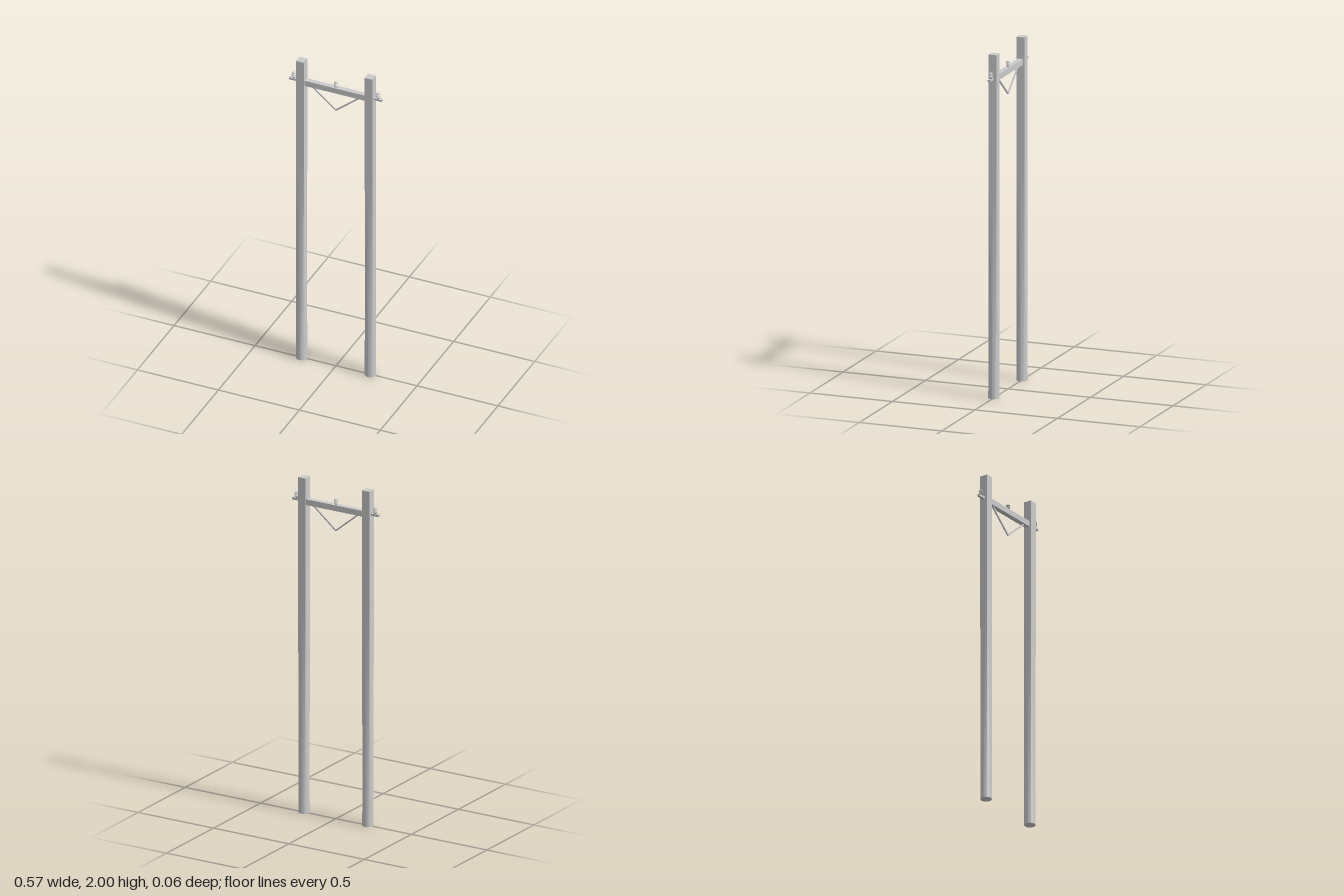
import * as THREE from 'three';

const material = new THREE.MeshStandardMaterial({ color: 0xcccccc, flatShading: true });
const smooth = new THREE.MeshStandardMaterial({ color: 0xcccccc });

function add(parent, name, geometry, x, y, z = 0, mat = material) {
  const mesh = new THREE.Mesh(geometry, mat);
  mesh.name = name;
  mesh.position.set(x, y, z);
  parent.add(mesh);
  return mesh;
}

// Pole: round at the foot, blending to a square post above
function poleGeometry() {
  const sides = 24, half = 0.0238, foot = 0.0325, blendTop = 1.3;
  const heights = [0, 0.15, 0.4, 0.7, 1, blendTop, 2];
  const positions = [], indices = [];
  for (const y of heights) {
    const t = Math.max(0, 1 - y / blendTop);
    for (let i = 0; i < sides; i++) {
      const a = (i / sides) * Math.PI * 2;
      const c = Math.cos(a), s = Math.sin(a);
      const square = half / Math.max(Math.abs(c), Math.abs(s));
      const r = square + (foot - square) * t;
      positions.push(c * r, y, s * r);
    }
  }
  for (let k = 0; k < heights.length - 1; k++) {
    for (let i = 0; i < sides; i++) {
      const a = k * sides + i, b = k * sides + (i + 1) % sides;
      indices.push(a, a + sides, b, b, a + sides, b + sides);
    }
  }
  // End caps
  const top = (heights.length - 1) * sides;
  for (let i = 1; i < sides - 1; i++) {
    indices.push(0, i, i + 1, top, top + i + 1, top + i);
  }
  const geometry = new THREE.BufferGeometry();
  geometry.setAttribute('position', new THREE.Float32BufferAttribute(positions, 3));
  geometry.setIndex(indices);
  geometry.computeVertexNormals();
  return geometry;
}

// Insulator: stacked skirts on a thin pin
function insulatorGeometry() {
  const profile = [
    [0, 0], [0.006, 0], [0.006, 0.008], [0.0125, 0.010], [0.0125, 0.014],
    [0.006, 0.016], [0.006, 0.019], [0.0125, 0.021], [0.0125, 0.025],
    [0.006, 0.027], [0.006, 0.029], [0.0105, 0.031], [0.0105, 0.035],
    [0.003, 0.037], [0.003, 0.039], [0, 0.039],
  ];
  return new THREE.LatheGeometry(profile.map(([r, y]) => new THREE.Vector2(r, y)), 20);
}

export function createModel() {
  const group = new THREE.Group();
  group.name = 'utilityPoleFrame';

  const pole = poleGeometry();
  const insulator = insulatorGeometry();

  // Crossarm between the poles and centre insulator
  add(group, 'crossarm', new THREE.BoxGeometry(0.42, 0.034, 0.031), 0, 1.857);
  add(group, 'centreInsulator', insulator, 0, 1.87, 0, smooth);

  for (const side of [1, -1]) {
    const label = side > 0 ? 'left' : 'right';
    add(group, label + 'Pole', pole, side * 0.212, 0);
    add(group, label + 'EndBracket', new THREE.BoxGeometry(0.086, 0.013, 0.016), side * 0.243, 1.86);
    add(group, label + 'Insulator', insulator, side * 0.26, 1.866, 0, smooth);

    // Diagonal brace from the crossarm down to the centre
    const start = new THREE.Vector2(0, 1.719), end = new THREE.Vector2(0.153, 1.845);
    const run = end.clone().sub(start);
    const brace = add(group, label + 'Brace', new THREE.BoxGeometry(run.length(), 0.008, 0.008),
      side * (start.x + end.x) / 2, (start.y + end.y) / 2);
    brace.rotation.z = side * run.angle();
  }
  return group;
}
